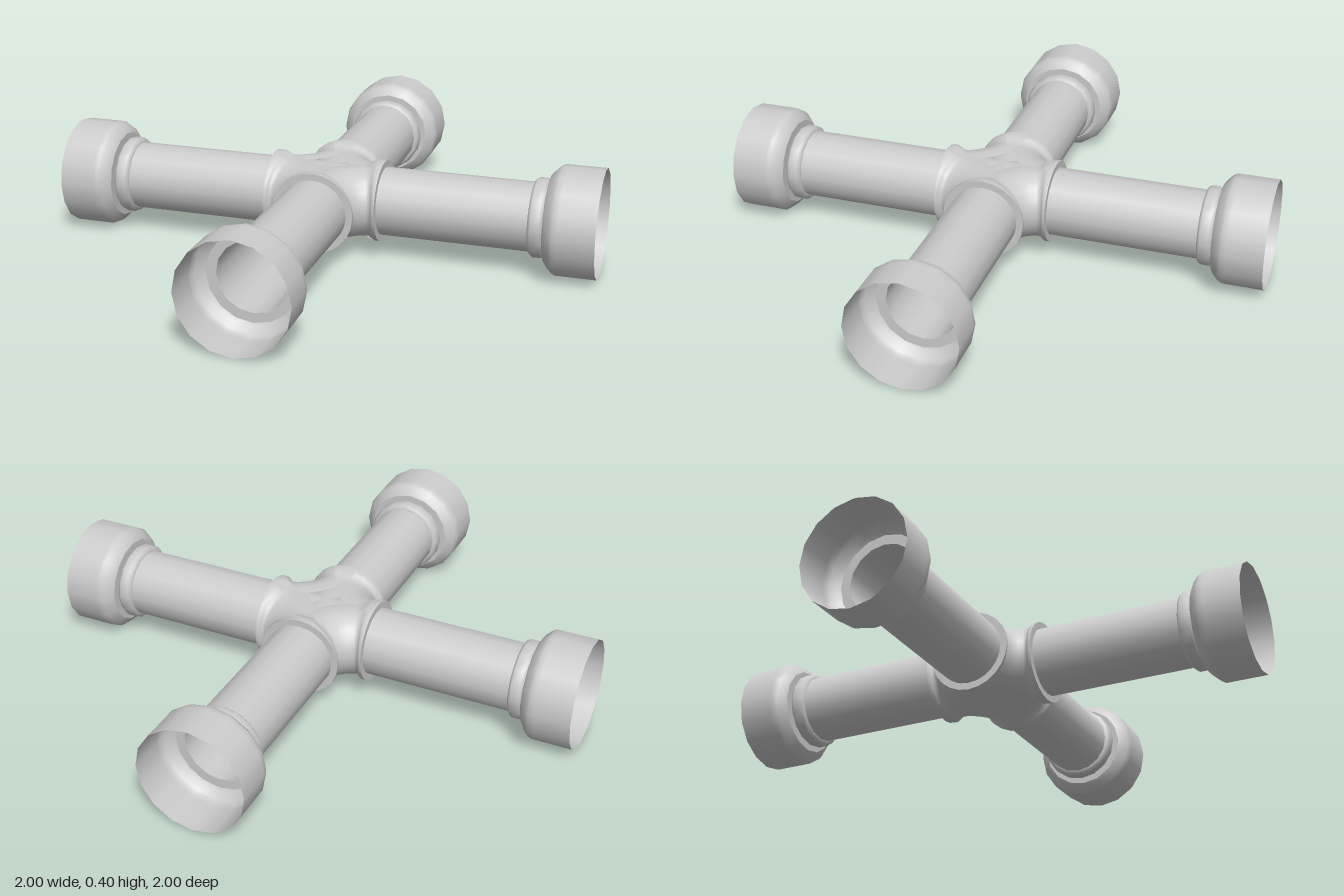
import * as THREE from 'three';

const SIDES = 16;
const AXIS_Y = 0.199;   // height of the pipe axes
const BORE = 0.125;     // pipe radius
const BEND = 0.21;      // bend radius of the corner fillets

const material = new THREE.MeshStandardMaterial({ color: 0xcccccc, side: THREE.DoubleSide });

// Turned part along +z; profile holds [radius, distance from the centre]
function turned(name, profile) {
  const points = profile.map(([r, d]) => new THREE.Vector2(r, d));
  const geometry = new THREE.LatheGeometry(points, SIDES).rotateX(Math.PI / 2);
  const mesh = new THREE.Mesh(geometry, material);
  mesh.name = name;
  return mesh;
}

// Straight pipe, mitred at the centre so that the crossing bores stay open
function pipe() {
  const mesh = turned('pipe', [[BORE, 0], [BORE, 0.81]]);
  const pos = mesh.geometry.attributes.position;
  for (let i = 0; i < pos.count; i++) {
    pos.setZ(i, Math.max(pos.getZ(i), Math.abs(pos.getX(i))));
  }
  return mesh;
}

// One arm: pipe, raised collar and flared open socket
function arm() {
  const group = new THREE.Group();
  group.name = 'arm';
  group.add(
    pipe(),
    turned('collar', [[BORE, 0.755], [0.135, 0.757], [0.143, 0.767], [0.143, 0.797], [0.135, 0.808], [BORE, 0.812]]),
    turned('socketBack', [[BORE, 0.812], [0.16, 0.812]]),
    turned('socket', [[0.16, 0.812], [0.172, 0.82], [0.19, 0.838], [0.198, 0.852], [0.198, 0.87], [0.198, 1]])
  );
  return group;
}

// Quarter bend between two arms: the half of an elbow that faces the corner,
// with a lip at each end; repeated stations keep the lip edges sharp
function cornerBend() {
  const start = [[0, BORE], [0, 0.15], [0, 0.15], [0.12, 0.15], [0.2, 0.143], [0.28, 0.133], [0.4, 0.131], [0.6, 0.131]];
  const end = start.map(([t, r]) => [Math.PI / 2 - t, r]).reverse();
  const stations = [...start, [Math.PI / 4, 0.131], ...end];
  const around = 14;
  const spread = 1.84;
  const geometry = new THREE.PlaneGeometry(1, 1, stations.length - 1, around);
  const { position, uv } = geometry.attributes;
  for (let i = 0; i < position.count; i++) {
    const [t, r] = stations[Math.round(uv.getX(i) * (stations.length - 1))];
    const phi = spread * (1 - 2 * uv.getY(i));
    const reach = BEND - r * Math.cos(phi);
    position.setXYZ(i, BEND - reach * Math.sin(t), r * Math.sin(phi), BEND - reach * Math.cos(t));
  }
  geometry.computeVertexNormals();
  const mesh = new THREE.Mesh(geometry, material);
  mesh.name = 'cornerBend';
  return mesh;
}

export function createModel() {
  const model = new THREE.Group();
  model.name = 'pipeCross';
  for (let i = 0; i < 4; i++) {
    for (const part of [arm(), cornerBend()]) {
      part.rotation.y = i * Math.PI / 2;
      part.position.y = AXIS_Y;
      model.add(part);
    }
  }
  return model;
}
